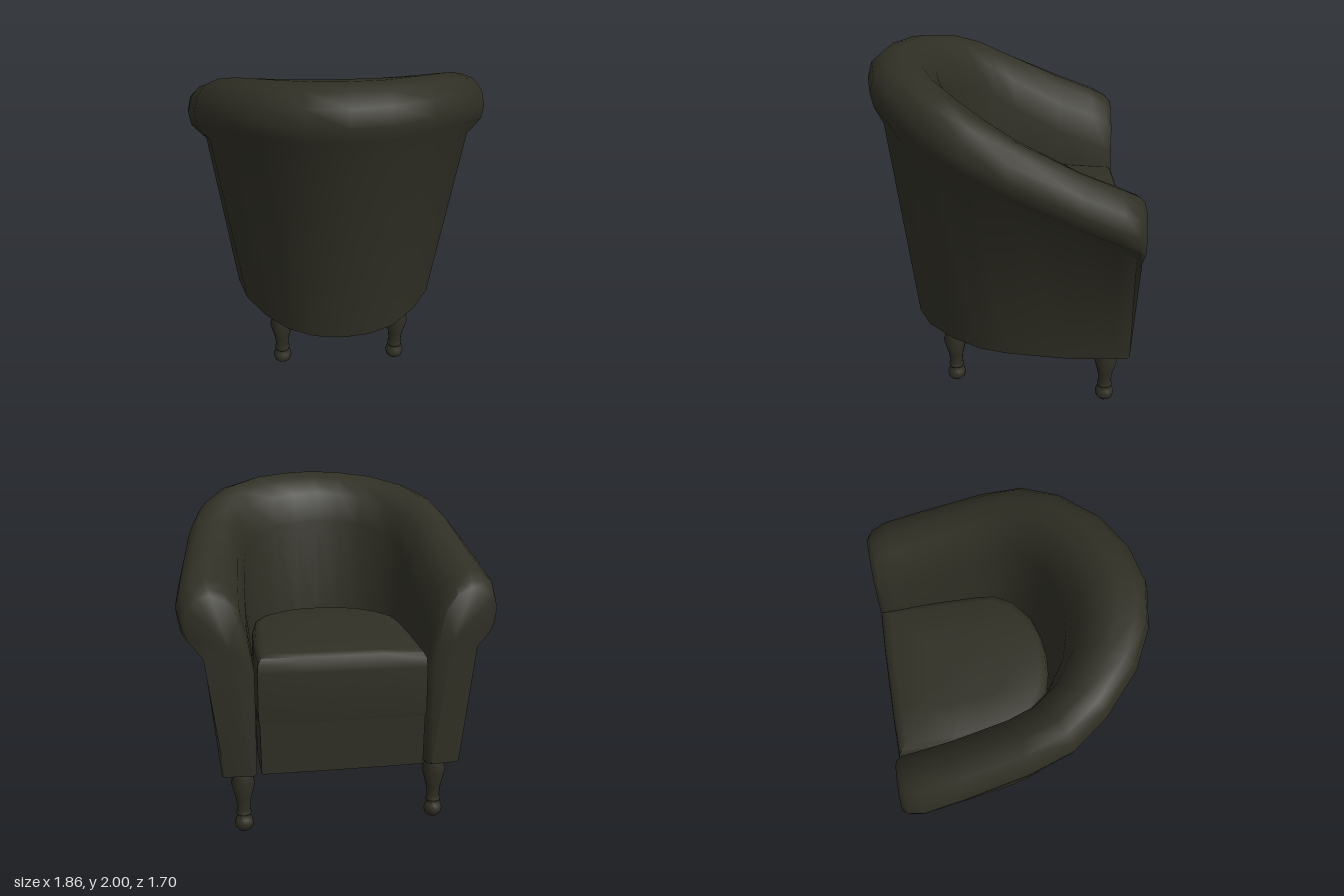
import * as THREE from 'three';
import { toCreasedNormals } from 'three/addons/utils/BufferGeometryUtils.js';

const upholstery = new THREE.MeshStandardMaterial({ color: 0x302f25 });
upholstery.name = 'dark olive upholstery';

function addMesh(parent, name, geometry) {
  const mesh = new THREE.Mesh(geometry, upholstery);
  mesh.name = name;
  parent.add(mesh);
  return mesh;
}

// Skin over a grid of cross-sections; either direction may wrap round
function loft(sections, wrapSections, wrapPoints, crease = 0.95) {
  const rows = sections.length, cols = sections[0].length;
  const index = [];
  for (let s = 0; s < rows - (wrapSections ? 0 : 1); s++) {
    for (let i = 0; i < cols - (wrapPoints ? 0 : 1); i++) {
      const t = (s + 1) % rows, j = (i + 1) % cols;
      const a = s * cols + i, b = t * cols + i, c = t * cols + j, d = s * cols + j;
      index.push(a, b, d, b, c, d);
    }
  }
  const geometry = new THREE.BufferGeometry();
  geometry.setAttribute('position', new THREE.Float32BufferAttribute(sections.flat(2), 3));
  geometry.setIndex(index);
  geometry.computeVertexNormals();
  return toCreasedNormals(geometry, crease);
}

const FLOOR = 0.385;

// Half of the tub, arm front to back centre:
// outer roll x z, inner wall x z, outer foot x z, crest height, roll undercut
const STATIONS = [
  [0.845, 0.562, 0.51, 0.562, 0.665, 0.55, 1.41, 0.26],
  [0.875, 0.53, 0.488, 0.53, 0.682, 0.535, 1.445, 0.3],
  [0.895, 0.44, 0.485, 0.44, 0.68, 0.44, 1.49, 0.31],
  [0.878, 0.236, 0.48, 0.236, 0.67, 0.2, 1.575, 0.29],
  [0.83, -0.14, 0.47, -0.05, 0.61, -0.14, 1.745, 0.24],
  [0.77, -0.365, 0.455, -0.17, 0.56, -0.3, 1.845, 0.21],
  [0.64, -0.552, 0.39, -0.28, 0.45, -0.47, 1.92, 0.18],
  [0.435, -0.74, 0.25, -0.375, 0.31, -0.61, 1.97, 0.15],
  [0.22, -0.85, 0.125, -0.41, 0.16, -0.68, 1.99, 0.13],
  [0, -0.89, 0, -0.425, 0, -0.7, 2.0, 0.12],
];

// Closed section through the wall: foot, rolled rim, inner wall
function wallSection([ox, oz, ix, iz, bx, bz, crest, undercut], side) {
  const at = (t, y) => [side * (ox + (ix - ox) * t), y, oz + (iz - oz) * t];
  const roll = [
    [undercut, -0.34], [0.03, -0.24], [0, -0.16], [0.06, -0.07], [0.2, -0.015],
    [0.4, 0], [0.63, -0.035], [0.82, -0.13], [0.92, -0.3],
  ].map(([t, dy]) => at(t, crest + dy));
  return [[side * bx, FLOOR, bz], ...roll, at(1, 0.98), at(1, FLOOR)];
}

function tubShell() {
  const left = STATIONS.map(s => wallSection(s, 1));
  const right = STATIONS.slice(0, -1).reverse().map(s => wallSection(s, -1));
  // Closing the arm fronts onto a single middle point
  const cap = side => left[0].map(() => [side * 0.62, 1.12, 0.565]);
  return loft([cap(1), ...left, ...right, cap(-1)], false, true);
}

// Horseshoe outline shared by seat base and cushion
const HALF_SEAT = [
  [0.24, 0.565], [0.475, 0.56], [0.478, 0.236], [0.466, -0.05], [0.45, -0.17],
  [0.385, -0.278], [0.25, -0.372], [0.125, -0.408],
];
const SEAT = [
  ...HALF_SEAT,
  [0, -0.42],
  ...HALF_SEAT.slice().reverse().map(([x, z]) => [-x, z]),
  [0, 0.565],
];

// Stacked horseshoe rings: scale about the seat middle, height, backward rise
function seatLayers(levels) {
  const midZ = 0.08;
  return loft(SEAT.map(([x, z]) => levels.map(([k, y, rise = 0]) => {
    const pz = midZ + (z - midZ) * k;
    return [x * k, y + rise * (0.56 - pz), pz];
  })), true, false);
}

// Turned leg with tapered shaft, ring and ball foot
function legGeometry() {
  const profile = [
    [0, 0], [0.03, 0.007], [0.05, 0.028], [0.055, 0.053], [0.047, 0.08], [0.032, 0.098],
    [0.043, 0.106], [0.044, 0.118], [0.036, 0.132], [0.044, 0.2], [0.069, 0.3],
    [0.053, 0.36], [0.048, 0.4],
  ].map(([r, y]) => new THREE.Vector2(r, y));
  return new THREE.LatheGeometry(profile, 14);
}

export function createModel() {
  const model = new THREE.Group();
  model.name = 'tubArmchair';

  // The chair stands turned, with its seat opening towards the rear
  const chair = new THREE.Group();
  chair.name = 'chair';
  chair.rotation.y = Math.PI + 0.373;
  chair.position.set(0.077, 0, -0.03);
  model.add(chair);

  addMesh(chair, 'backAndArms', tubShell());

  addMesh(chair, 'seatBase', seatLayers([
    [0, FLOOR + 0.002], [0.975, FLOOR + 0.002], [0.985, 0.69], [0, 0.69],
  ]));

  addMesh(chair, 'seatCushion', seatLayers([
    [0, 0.68], [0.99, 0.68], [1, 0.72], [1, 0.97, 0.03], [0.99, 1.02, 0.06],
    [0.955, 1.05, 0.08], [0.88, 1.065, 0.08], [0.5, 1.075, 0.08], [0, 1.08, 0.08],
  ]));

  // Four legs, the rear pair set closer together
  const leg = legGeometry();
  for (const side of [1, -1]) {
    const label = side > 0 ? 'Left' : 'Right';
    addMesh(chair, 'front' + label + 'Leg', leg).position.set(side * 0.564, 0, 0.43);
    addMesh(chair, 'rear' + label + 'Leg', leg).position.set(side * 0.35, 0, -0.46);
  }
  return model;
}
